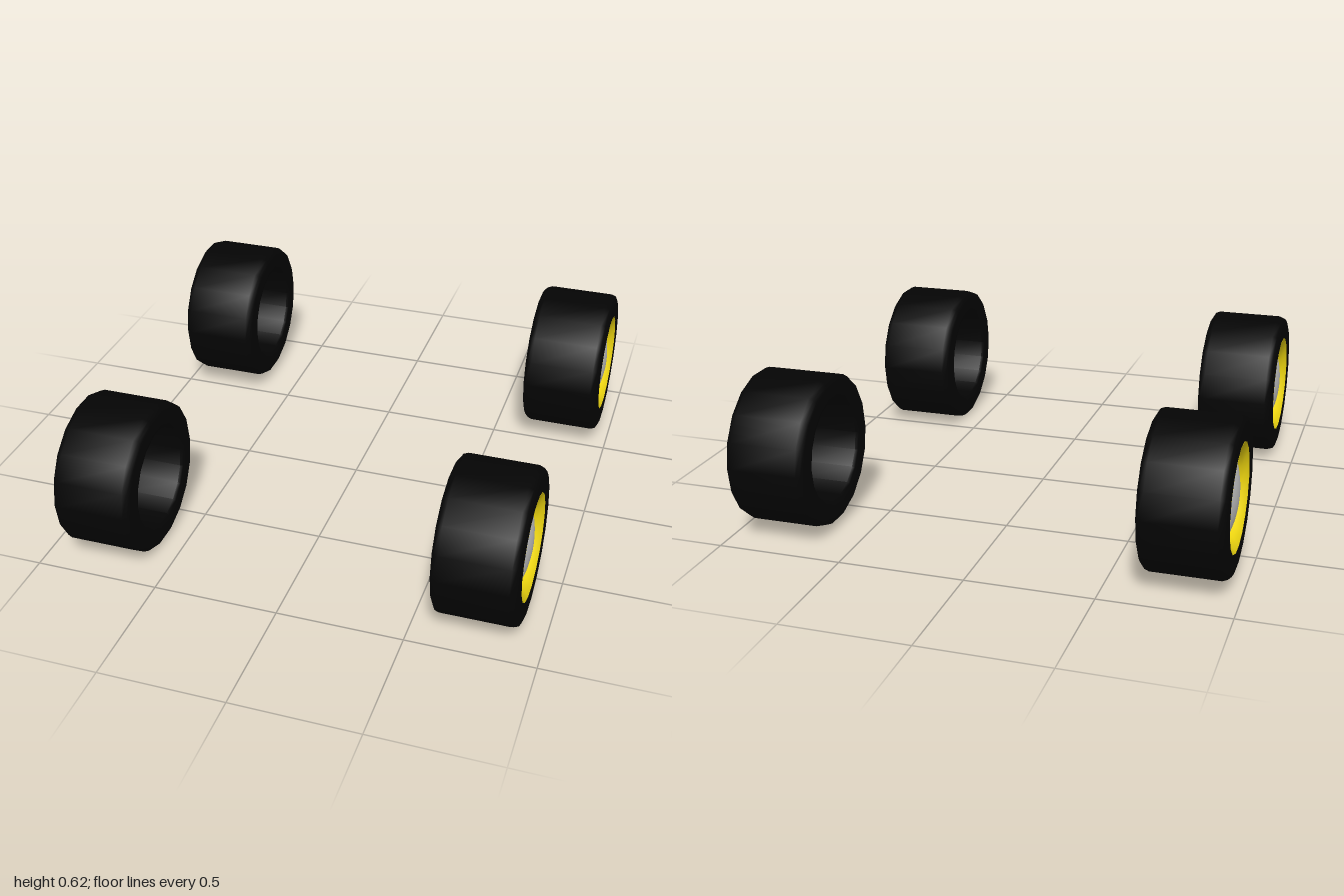
import * as THREE from 'three';
import { toCreasedNormals } from 'three/addons/utils/BufferGeometryUtils.js';

const SIDES = 18;
const HALF = 0.16; // half the tyre width
const R = 0.304;   // tyre radius at the corners

// Turns a profile of [radius, distance along the axle]; +x is the outer face
function turned(points) {
  const profile = points.map(([r, x]) => new THREE.Vector2(r, x));
  const g = new THREE.LatheGeometry(profile, SIDES);
  g.rotateZ(-Math.PI / 2);
  return toCreasedNormals(g, 0.8);
}

function part(name, geometry, color) {
  const mesh = new THREE.Mesh(geometry, new THREE.MeshStandardMaterial({ color }));
  mesh.name = name;
  return mesh;
}

function makeWheel(name) {
  const wheel = new THREE.Group();
  wheel.name = name;

  // Tyre: deep barrel open to the inner side, rounded shoulders, shallow outer seat
  const tyre = turned([
    [0, HALF - 0.09], [0.205, HALF - 0.09], [0.205, -HALF + 0.01], [0.215, -HALF],
    [R - 0.022, -HALF], [R - 0.007, -HALF + 0.008], [R, -HALF + 0.026],
    [R, HALF - 0.026], [R - 0.007, HALF - 0.008], [R - 0.022, HALF],
    [0.209, HALF], [0.172, HALF - 0.055], [0, HALF - 0.055],
  ]);
  wheel.add(part('tyre', tyre, 0x040404));

  // Shallow sloping rim with a steep inner lip
  const rim = turned([
    [0.211, HALF - 0.004], [0.207, HALF],
    [0.177, HALF - 0.022], [0.17, HALF - 0.054],
  ]);
  wheel.add(part('rim', rim, 0xf0d810));

  // Domed hub cap set into the rim
  const dome = [];
  for (let i = 0; i <= 8; i++) {
    const t = i / 8;
    dome.push([0.165 * (1 - t), HALF - 0.04 + 0.035 * (1 - (1 - t) ** 2)]);
  }
  wheel.add(part('hubCap', turned(dome), 0xcccccc));
  return wheel;
}

export function createModel() {
  const model = new THREE.Group();
  model.name = 'wheelSet';

  // The rear pair sits slightly wider and higher than the front pair
  const axles = [
    { name: 'front', x: 0.746, y: 0.302, z: 0.697 },
    { name: 'rear', x: 0.795, y: 0.327, z: -0.697 },
  ];
  for (const { name, x, y, z } of axles) {
    for (const side of [1, -1]) {
      const wheel = makeWheel(name + (side > 0 ? 'LeftWheel' : 'RightWheel'));
      wheel.position.set(side * x, y, z);
      if (side < 0) wheel.rotation.y = Math.PI;
      model.add(wheel);
    }
  }
  return model;
}
